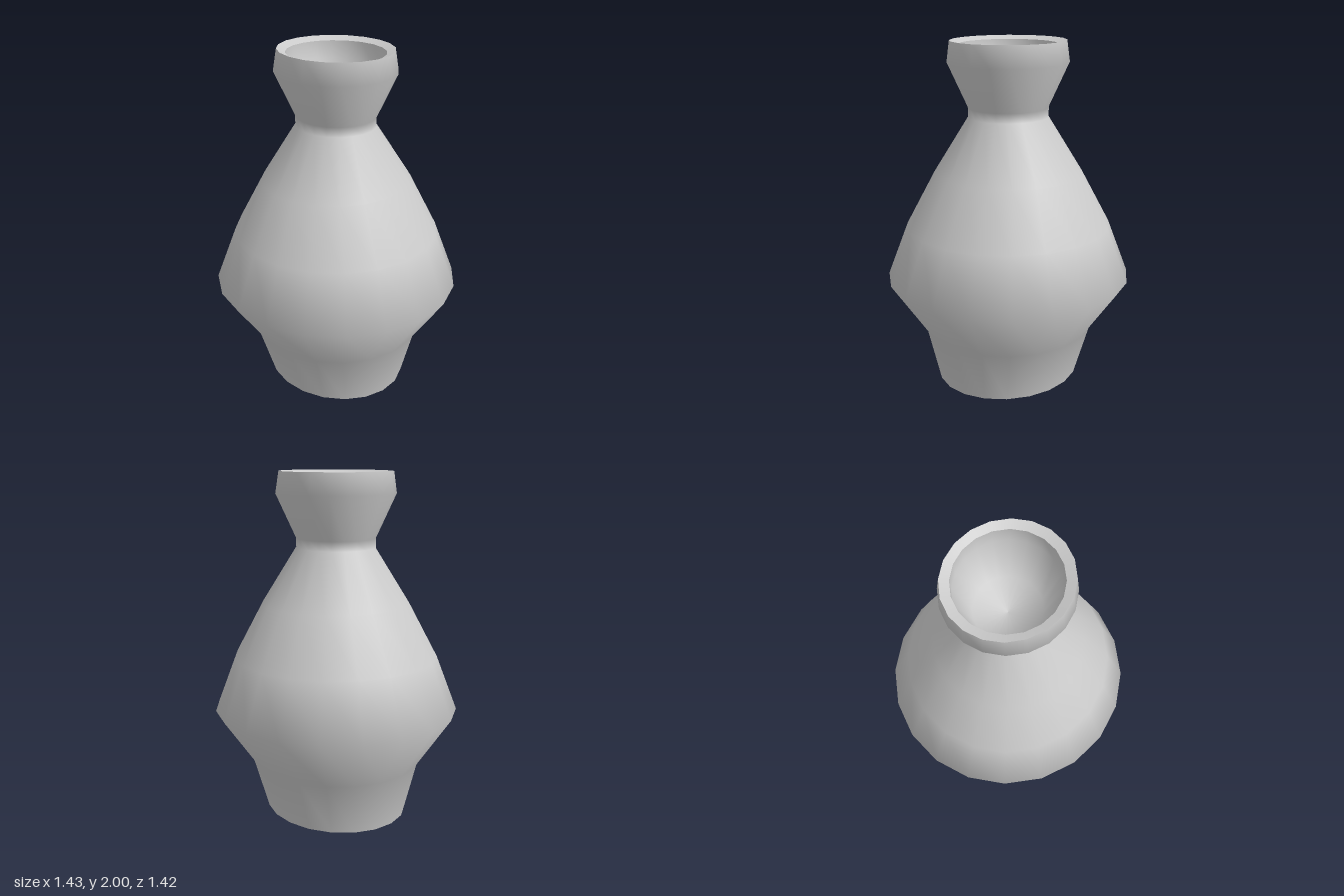
import * as THREE from 'three';

const SEGMENTS = 20;
const material = new THREE.MeshStandardMaterial({ color: 0xcccccc });

// Rings given as [x radius, height, z radius]: a lathe whose rings are slightly oval
function ovalLathe(name, rings) {
  const points = rings.map(([r, y]) => new THREE.Vector2(r, y));
  const geometry = new THREE.LatheGeometry(points, SEGMENTS);
  const pos = geometry.attributes.position;
  for (let i = 0; i < pos.count; i++) {
    const [rx, , rz] = rings[i % rings.length];
    if (rx > 0) pos.setZ(i, pos.getZ(i) * rz / rx);
  }
  const mesh = new THREE.Mesh(geometry, material);
  mesh.name = name;
  return mesh;
}

export function createModel() {
  const vase = new THREE.Group();
  vase.name = 'vase';

  // Flat underside
  vase.add(ovalLathe('base', [[0, 0, 0], [0.44, 0, 0.392]]));

  // Foot, belly, shoulder, neck and flared mouth
  vase.add(ovalLathe('outerWall', [
    [0.44, 0, 0.392],
    [0.51, 0.32, 0.493],
    [0.717, 0.635, 0.708],
    [0.594, 0.95, 0.588],
    [0.42, 1.26, 0.434],
    [0.232, 1.575, 0.223],
    [0.232, 1.63, 0.223],
    [0.345, 1.88, 0.338],
    [0.333, 2, 0.313],
  ]));

  // Lip sloping gently into the mouth
  vase.add(ovalLathe('rim', [[0.333, 2, 0.313], [0.28, 1.98, 0.27]]));

  // Funnel inside the mouth with its floor at the neck
  vase.add(ovalLathe('innerMouth', [
    [0.28, 1.98, 0.27],
    [0.275, 1.88, 0.268],
    [0.185, 1.64, 0.18],
    [0, 1.6, 0],
  ]));

  // Undersides and funnel must face the right way from every side
  for (const part of vase.children) part.geometry.computeBoundingSphere();
  return flipBase(vase);
}

// The base profile runs outward from the axis, so it faces down only if its winding says so
function flipBase(vase) {
  const geometry = vase.getObjectByName('base').geometry;
  const index = geometry.index, pos = geometry.attributes.position;
  const a = new THREE.Vector3(), b = new THREE.Vector3(), c = new THREE.Vector3();
  const normal = new THREE.Vector3();
  for (let i = 0; i < index.count; i += 3) {
    const [p, q, r] = [0, 1, 2].map((k) => index.getX(i + k));
    a.fromBufferAttribute(pos, p);
    b.fromBufferAttribute(pos, q).sub(a);
    c.fromBufferAttribute(pos, r).sub(a);
    if (normal.crossVectors(b, c).y > 0) {
      index.setX(i + 1, r);
      index.setX(i + 2, q);
    }
  }
  for (let i = 0; i < pos.count; i++) geometry.attributes.normal.setXYZ(i, 0, -1, 0);
  return vase;
}
